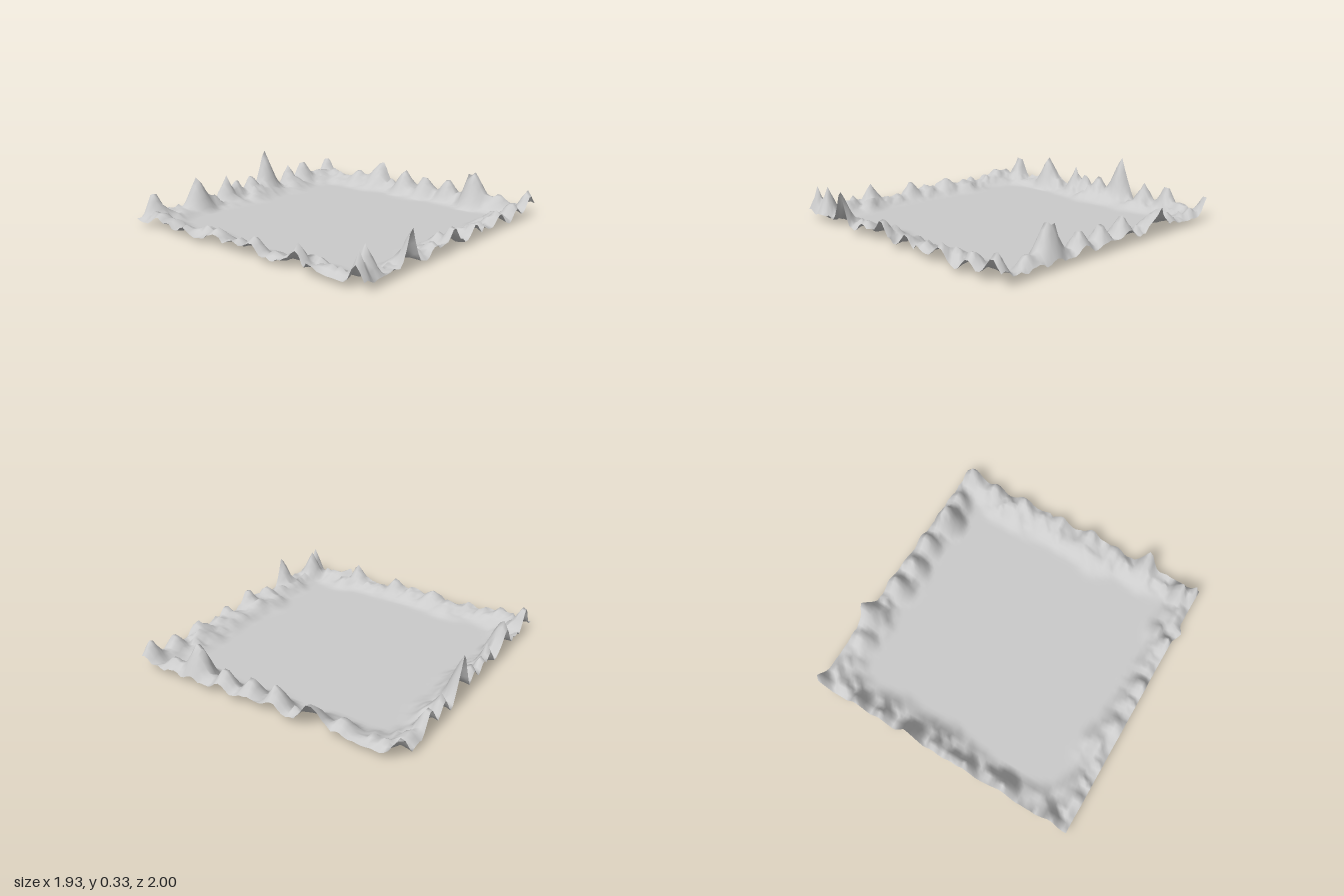
import * as THREE from 'three';

const HALF = 0.967, CELLS = 68;

// Main summits: x, z, height, radius
const PEAKS = [
  // left rim
  [-0.965, -0.22, 0.35, 0.13], [-0.93, 0.48, 0.26, 0.13], [-0.94, 0.2, 0.21, 0.1],
  [-0.94, 0.1, 0.18, 0.09], [-0.93, -0.04, 0.19, 0.1], [-0.94, -0.46, 0.19, 0.1],
  [-0.95, -0.64, 0.21, 0.11], [-0.95, -0.95, 0.19, 0.11], [-0.95, 0.84, 0.23, 0.1],
  // back rim
  [-0.38, -0.96, 0.21, 0.16], [-0.09, -0.9, 0.2, 0.13], [0.1, -0.89, 0.18, 0.12],
  [0.3, -0.9, 0.19, 0.11], [0.49, -0.88, 0.26, 0.08], [0.54, -0.87, 0.28, 0.13],
  [-0.55, -0.9, 0.13, 0.12], [0.72, -0.9, 0.13, 0.1], [0.94, -0.9, 0.2, 0.11],
  // right rim
  [0.965, 0.55, 0.28, 0.1], [0.95, 0.1, 0.18, 0.11], [0.94, -0.46, 0.14, 0.11],
  [0.93, -0.7, 0.15, 0.1], [0.93, 0.3, 0.12, 0.11], [0.95, -0.15, 0.13, 0.1],
  // front rim
  [0.88, 0.85, 0.23, 0.1], [0.91, 0.94, 0.22, 0.08], [0.49, 0.94, 0.18, 0.09],
  [0.13, 0.93, 0.15, 0.1], [-0.2, 0.92, 0.12, 0.12], [-0.75, 0.93, 0.12, 0.1],
  [0.6, 0.965, 0.09, 0.08],
];

// Repeatable value noise
function hash(i, j) {
  const s = Math.sin(i * 127.1 + j * 311.7 + 4.3) * 43758.5453;
  return s - Math.floor(s);
}

function noise(x, z) {
  const i = Math.floor(x), j = Math.floor(z);
  const u = THREE.MathUtils.smoothstep(x - i, 0, 1);
  const v = THREE.MathUtils.smoothstep(z - j, 0, 1);
  const a = THREE.MathUtils.lerp(hash(i, j), hash(i + 1, j), u);
  const b = THREE.MathUtils.lerp(hash(i, j + 1), hash(i + 1, j + 1), u);
  return THREE.MathUtils.lerp(a, b, v);
}

// Flat basin that rises into a ragged rim of hills
function heightAt(x, z) {
  const inset = HALF - Math.max(Math.abs(x), Math.abs(z));
  const width = 0.17 + 0.13 * noise(x * 5 + 20, z * 5 + 20);
  const ramp = THREE.MathUtils.smoothstep(width - inset, 0, width * 0.85);
  if (ramp === 0) return 0;
  const hills = noise(x * 11 + 40, z * 11 + 40);
  const crags = noise(x * 27 + 70, z * 27 + 70);
  const outerDrop = 0.6 + 0.4 * THREE.MathUtils.smoothstep(inset, 0, 0.07);
  let h = ramp * outerDrop * (0.015 + 0.075 * hills + 0.075 * crags * crags);
  for (const [px, pz, top, radius] of PEAKS) {
    const d = Math.hypot(x - px, z - pz) / radius;
    if (d < 1) h = Math.max(h, top * Math.pow(1 - d, 1.25) + h * d * 0.7);
  }
  return h;
}

// Sideways bulge where a crag leans past the rim
function bulge(x, z, cx, side, amount) {
  const near = Math.max(0, 1 - Math.abs(x - cx) / 0.07);
  const rim = Math.max(0, 1 - (HALF - z * side) / 0.05);
  return side * amount * near * rim;
}

export function createModel() {
  const geometry = new THREE.PlaneGeometry(2 * HALF, 2 * HALF, CELLS, CELLS);
  geometry.rotateX(-Math.PI / 2);
  const pos = geometry.attributes.position;
  for (let i = 0; i < pos.count; i++) {
    const x = pos.getX(i), z = pos.getZ(i);
    const lean = bulge(x, z, 0.6, 1, 0.035) + bulge(x, z, -0.36, -1, 0.035);
    // The back left corner is slightly clipped
    const clip = x + z < -2 * HALF + 0.01 ? 0.02 : 0;
    pos.setXYZ(i, x + clip, heightAt(x, z), z + lean + clip);
  }
  geometry.computeVertexNormals();

  const material = new THREE.MeshStandardMaterial({ color: 0xcccccc, side: THREE.DoubleSide });
  const terrain = new THREE.Mesh(geometry, material);
  terrain.name = 'mountainRimmedTerrain';

  const group = new THREE.Group();
  group.name = 'terrain';
  group.add(terrain);
  return group;
}
